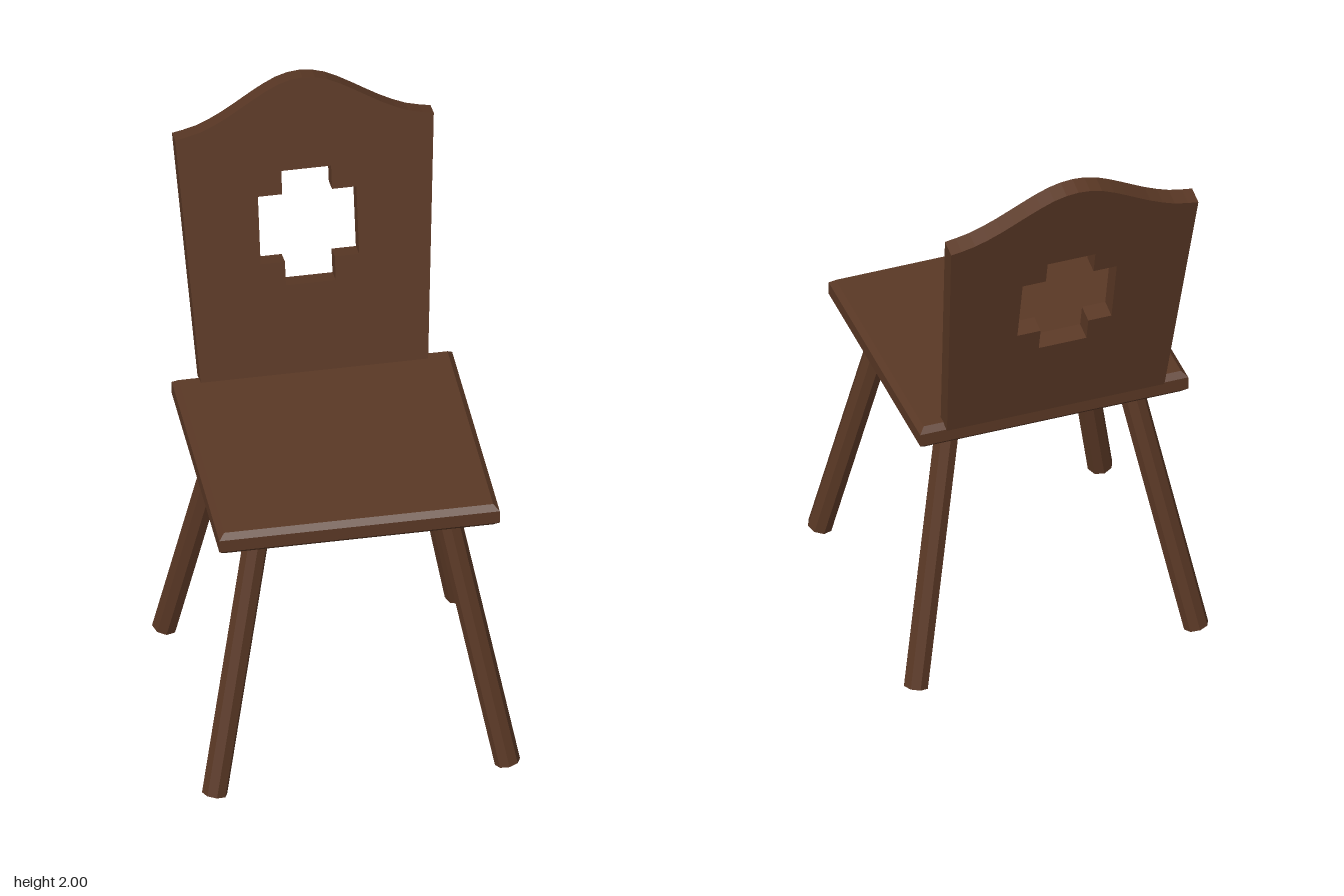
import * as THREE from 'three';

const wood = new THREE.MeshStandardMaterial({ color: 0x5a3825 });

function addPart(parent, name, geometry) {
  const mesh = new THREE.Mesh(geometry, wood);
  mesh.name = name;
  parent.add(mesh);
  return mesh;
}

function polygon(points, Type = THREE.Shape) {
  return new Type(points.map(([x, y]) => new THREE.Vector2(x, y)));
}

// Chamfered slab, its plan drawn in x/z
function seatGeometry() {
  const c = 0.018, w = 0.45 - c, d = 0.4275 - c;
  const plan = polygon([[-w, -d], [w, -d], [w, d], [-w, d]]);
  const geo = new THREE.ExtrudeGeometry(plan, {
    depth: 0.08 - 2 * c, bevelEnabled: true, bevelSegments: 1, bevelSize: c, bevelThickness: c,
  });
  geo.translate(0, 0, c);
  geo.rotateX(-Math.PI / 2);
  return geo;
}

// Tapered board with a wavy crest and a cross-shaped opening
function backGeometry() {
  const crest = [[0.415, 0.85], [0.335, 0.868], [0.25, 0.908], [0.165, 0.96], [0.08, 1.006]];
  const mirrored = crest.map(([x, y]) => [-x, y]).reverse();
  const board = polygon([[-0.365, 0], [0.365, 0]]);
  const curve = new THREE.SplineCurve(
    [...crest, [0, 1.022], ...mirrored].map(([x, y]) => new THREE.Vector2(x, y)));
  for (const p of curve.getPoints(20)) board.lineTo(p.x, p.y);
  board.closePath();
  const a = 0.08, b = 0.158, y = [0.307, 0.389, 0.624, 0.705];
  board.holes.push(polygon([
    [-a, y[0]], [-a, y[1]], [-b, y[1]], [-b, y[2]], [-a, y[2]], [-a, y[3]],
    [a, y[3]], [a, y[2]], [b, y[2]], [b, y[1]], [a, y[1]], [a, y[0]],
  ], THREE.Path));
  const geo = new THREE.ExtrudeGeometry(board, { depth: 0.06, bevelEnabled: false });
  geo.translate(0, 0, -0.06);
  return geo;
}

// Straight eight-sided rod between two points
function addLeg(parent, name, top, foot) {
  const axis = new THREE.Vector3().subVectors(top, foot);
  const geo = new THREE.CylinderGeometry(0.041, 0.041, axis.length(), 8).toNonIndexed();
  geo.computeVertexNormals();
  const leg = addPart(parent, name, geo);
  leg.position.addVectors(top, foot).multiplyScalar(0.5);
  leg.quaternion.setFromUnitVectors(new THREE.Vector3(0, 1, 0), axis.normalize());
}

export function createModel() {
  const chair = new THREE.Group();
  chair.name = 'chair';

  addPart(chair, 'seat', seatGeometry()).position.set(0, 0.92, 0.0825);

  // Backrest leans backward from the rear of the seat
  const back = addPart(chair, 'backrest', backGeometry());
  back.position.set(0, 1, -0.3);
  back.rotation.x = -THREE.MathUtils.degToRad(12.1);

  // Splayed legs, mirrored left and right
  for (const [side, sx] of [['Left', 1], ['Right', -1]]) {
    for (const [end, topZ, footZ] of [['front', 0.365, 0.535], ['back', -0.192, -0.362]]) {
      addLeg(chair, end + side + 'Leg',
        new THREE.Vector3(sx * 0.298, 0.93, topZ),
        new THREE.Vector3(sx * 0.47, 0.011, footZ));
    }
  }
  return chair;
}
